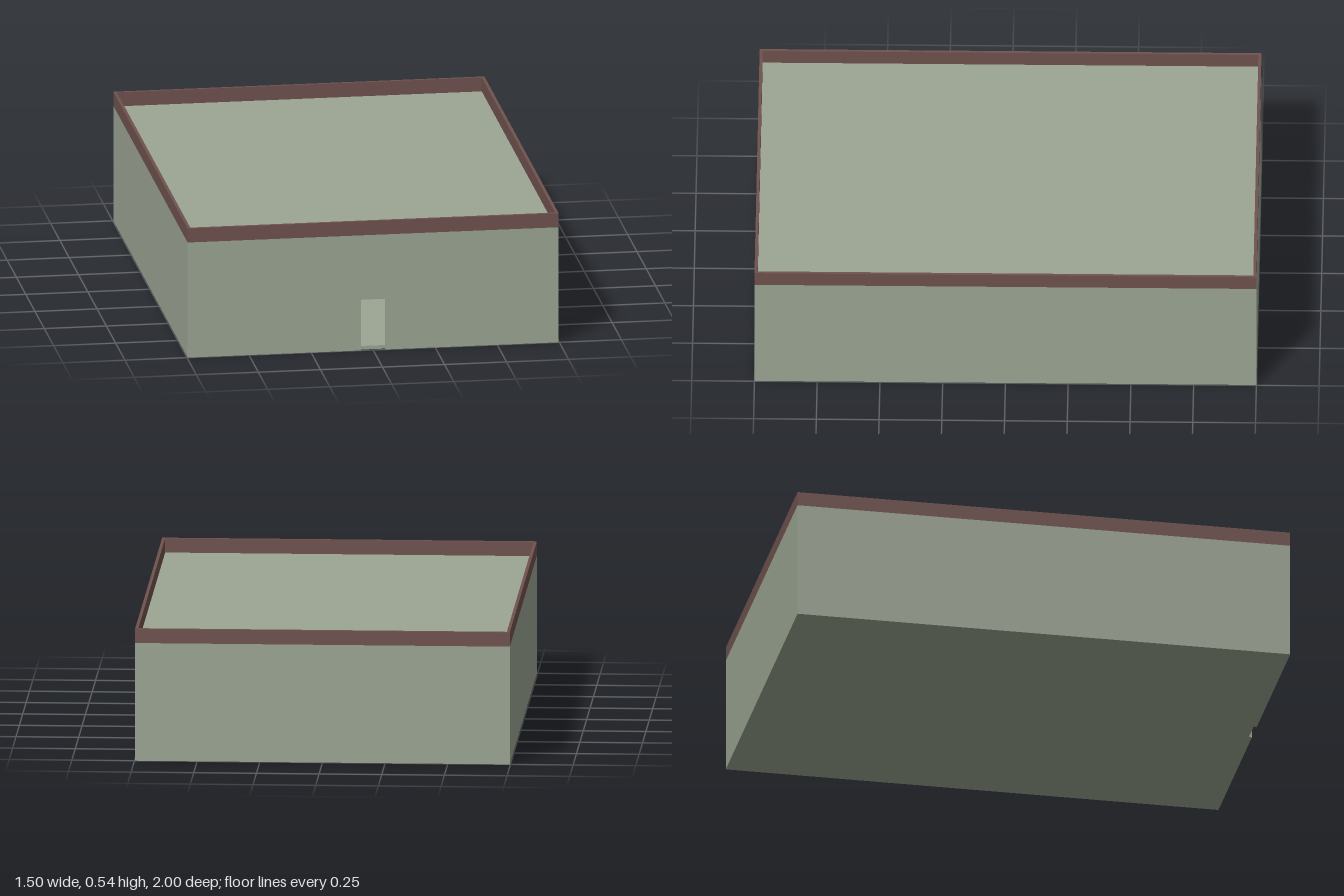
import * as THREE from 'three';

const W = 1.495, L = 2, T = 0.0125;         // footprint and wall thickness
const WALL_H = 0.477, TOP = 0.535;          // wall top and parapet top
const DOOR_W = 0.1, DOOR_H = 0.21, SLAB = 0.015;

export function createModel() {
  const group = new THREE.Group();
  const wallMat = new THREE.MeshStandardMaterial({ color: 0x9ca694 });
  wallMat.name = 'sage green';
  const trimMat = new THREE.MeshStandardMaterial({ color: 0x6f524e });
  trimMat.name = 'red brown';

  const add = (name, geometry, material, x = 0, y = 0, z = 0) => {
    const mesh = new THREE.Mesh(geometry, material);
    mesh.name = name;
    mesh.position.set(x, y, z);
    group.add(mesh);
  };
  const box = (name, w, h, d, material, x, y, z) =>
    add(name, new THREE.BoxGeometry(w, h, d), material, x, y + h / 2, z);

  // Front wall with an open doorway reaching the ground
  const front = new THREE.Shape([
    [-W / 2, 0], [-DOOR_W / 2, 0], [-DOOR_W / 2, DOOR_H], [DOOR_W / 2, DOOR_H],
    [DOOR_W / 2, 0], [W / 2, 0], [W / 2, WALL_H], [-W / 2, WALL_H],
  ].map(([x, y]) => new THREE.Vector2(x, y)));
  add('frontWall', new THREE.ExtrudeGeometry(front, { depth: T, bevelEnabled: false }),
    wallMat, 0, 0, L / 2 - T);

  // Remaining walls
  box('backWall', W, WALL_H, T, wallMat, 0, 0, -L / 2 + T / 2);
  for (const [name, side] of [['leftWall', 1], ['rightWall', -1]]) {
    box(name, T, WALL_H, L - 2 * T, wallMat, side * (W - T) / 2, 0, 0);
  }

  // Floor and flat roof fitted between the walls
  box('floor', W - 2 * T, SLAB, L - 2 * T, wallMat, 0, 0, 0);
  box('roof', W - 2 * T, SLAB, L - 2 * T, wallMat, 0, WALL_H - SLAB, 0);

  // Parapet ring around the roof
  const rect = (w, l) => [[-w, -l], [w, -l], [w, l], [-w, l]]
    .map(([x, y]) => new THREE.Vector2(x / 2, y / 2));
  const ring = new THREE.Shape(rect(W, L));
  ring.holes.push(new THREE.Path(rect(W - 2 * T, L - 2 * T)));
  const parapet = new THREE.ExtrudeGeometry(ring, { depth: TOP - WALL_H, bevelEnabled: false });
  parapet.rotateX(-Math.PI / 2);
  add('parapet', parapet, trimMat, 0, WALL_H, 0);

  return group;
}
